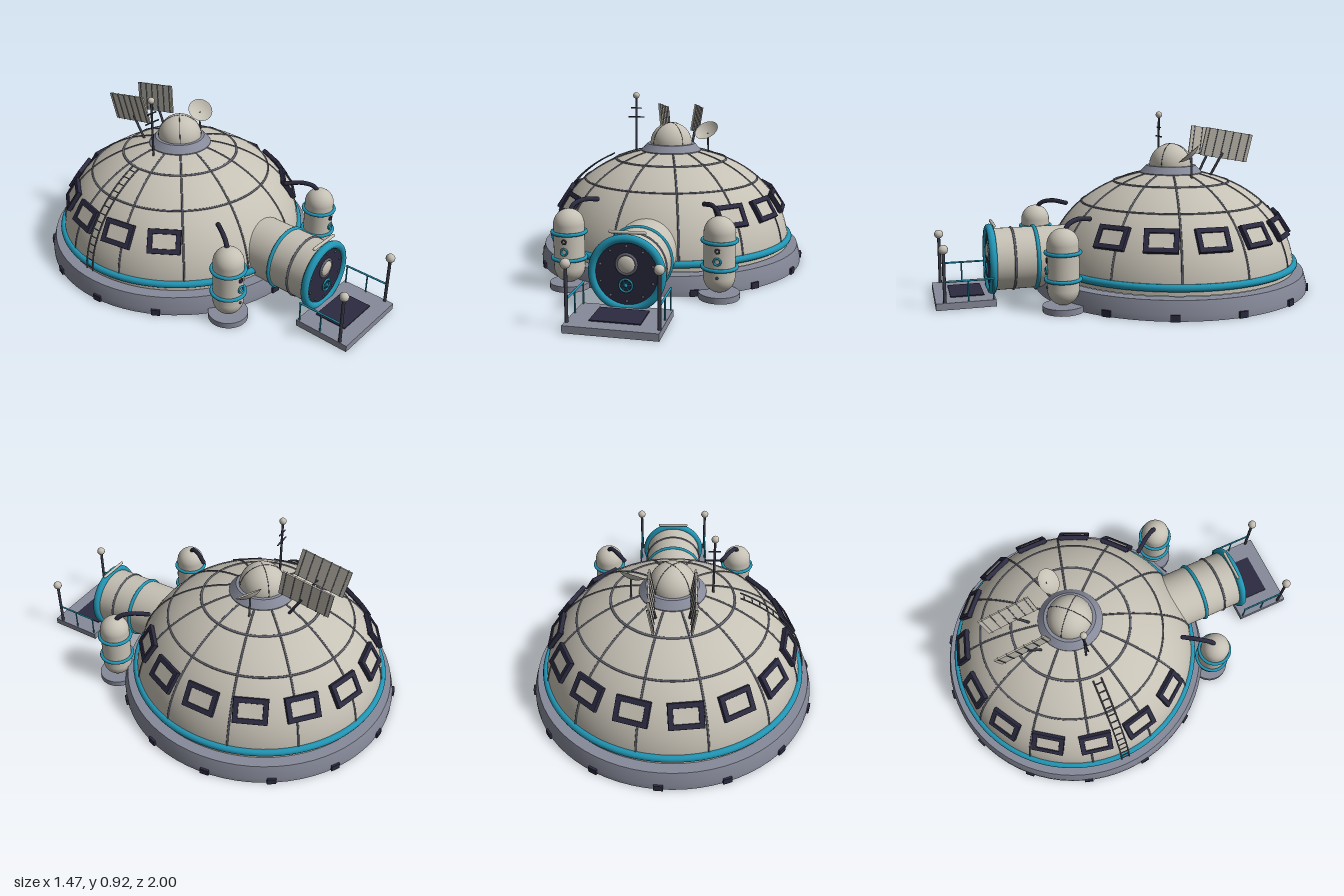
import * as THREE from 'three';
import { toCreasedNormals } from 'three/addons/utils/BufferGeometryUtils.js';

const material = (name, color, side = THREE.FrontSide) => {
  const m = new THREE.MeshStandardMaterial({ color, side });
  m.name = name;
  return m;
};
const V = (x, y, z) => new THREE.Vector3(x, y, z);
const RAD = Math.PI / 180;

// Dome is an ellipsoid: radius R, rise H, springing from y = Y0
const R = 0.66, H = 0.52, Y0 = 0.1, DOME_Z = -0.26;
const latitude = (y) => Math.asin((y - Y0) / H);
const domePoint = (lat, off = 0) => {
  const n = new THREE.Vector2(Math.cos(lat) / R, Math.sin(lat) / H).normalize();
  return new THREE.Vector2(R * Math.cos(lat) + n.x * off, Y0 + H * Math.sin(lat) + n.y * off);
};

export function createModel() {
  const hull = material('hull', 0xc6c1b5, THREE.DoubleSide);
  const grey = material('base grey', 0x878a9a);
  const teal = material('teal trim', 0x2196b5);
  const navy = material('dark navy', 0x2b2a40);
  const seam = material('seam grey', 0x5f616d);
  const dark = material('charcoal', 0x3b3d49);

  const model = new THREE.Group();
  model.name = 'domeHabitat';
  const group = (name, parent, x = 0, y = 0, z = 0) => {
    const g = new THREE.Group();
    g.name = name;
    g.position.set(x, y, z);
    parent.add(g);
    return g;
  };
  const add = (parent, name, geo, mat, x = 0, y = 0, z = 0) => {
    const m = new THREE.Mesh(geo, mat);
    m.name = name;
    m.position.set(x, y, z);
    parent.add(m);
    return m;
  };
  const box = (w, h, d) => new THREE.BoxGeometry(w, h, d);
  const ball = (r) => new THREE.SphereGeometry(r, 20, 14);
  const ring = (r, t, seg = 64) => new THREE.TorusGeometry(r, t, 10, seg);
  const flatRing = (r, t, seg) => ring(r, t, seg).rotateX(Math.PI / 2);
  const lathe = (pts, seg = 64) => toCreasedNormals(
    new THREE.LatheGeometry(pts.map(([x, y]) => new THREE.Vector2(x, y)), seg), 0.6);
  const tube = (pts, r, seg = 24) =>
    new THREE.TubeGeometry(new THREE.CatmullRomCurve3(pts), seg, r, 8);
  const rod = (parent, name, a, b, r, mat) => {
    const m = add(parent, name, new THREE.CylinderGeometry(r, r, a.distanceTo(b), 10), mat);
    m.position.copy(a).lerp(b, 0.5);
    m.quaternion.setFromUnitVectors(V(0, 1, 0), b.clone().sub(a).normalize());
    return m;
  };
  const arc = (from, to, off, n, x = 0) => Array.from({ length: n + 1 }, (_, i) => {
    const p = domePoint(from + (to - from) * i / n, off);
    return V(x, p.y, p.x);
  });

  // Main dome and its foundation
  const dome = group('dome', model, 0, 0, DOME_Z);
  const profile = Array.from({ length: 25 }, (_, i) => domePoint(i / 24 * Math.PI / 2));
  add(dome, 'domeShell', new THREE.LatheGeometry(profile, 72), hull);
  add(dome, 'foundationRing', lathe(
    [[0.65, 0], [0.73, 0], [0.73, 0.03], [0.712, 0.095], [0.65, 0.095], [0.65, 0]], 72), grey);
  add(dome, 'tealBand', flatRing(0.662, 0.018, 96), teal, 0, 0.138, 0);
  for (const [y, t] of [[0.455, 0.005], [0.56, 0.006]])
    add(dome, 'hoopSeam', flatRing(domePoint(latitude(y)).x, t, 80), seam, 0, y, 0);
  const ribGeo = tube(arc(latitude(0.14), latitude(0.607), 0, 12), 0.005);
  for (let i = 0; i < 12; i++)
    add(dome, 'ribSeam', ribGeo, seam).rotation.y = (15 + 30 * i) * RAD;
  for (let i = 0; i < 14; i++) {
    const g = group('anchor', dome);
    g.rotation.y = (20.6 + 360 / 14 * i) * RAD;
    add(g, 'anchorBlock', box(0.045, 0.032, 0.035), navy, 0, 0.016, 0.722);
  }

  // Windows run round the dome, leaving the entrance clear
  const frameShape = new THREE.Shape([[-1, -1], [1, -1], [1, 1], [-1, 1]].map(([x, y]) =>
    new THREE.Vector2(x * 0.08, y * 0.058)));
  frameShape.holes.push(new THREE.Path([[-1, -1], [-1, 1], [1, 1], [1, -1]].map(([x, y]) =>
    new THREE.Vector2(x * 0.062, y * 0.04))));
  const frameGeo = new THREE.ExtrudeGeometry(frameShape, {
    depth: 0.016, bevelThickness: 0.004, bevelSize: 0.004, bevelSegments: 2 });
  const wLat = latitude(0.34), wp = domePoint(wLat);
  const tilt = Math.atan2(Math.sin(wLat) / H, Math.cos(wLat) / R);
  for (let i = 0; i < 12; i++) {
    const turn = group('windowMount', dome);
    turn.rotation.y = (42 + 24 * i) * RAD;
    const w = group('window', turn, 0, wp.y, wp.x);
    w.rotation.x = -tilt;
    add(w, 'windowFrame', frameGeo, navy, 0, 0, 0.002);
    add(w, 'windowCasing', box(0.15, 0.108, 0.03), navy, 0, 0, -0.008);
    add(w, 'windowPane', box(0.126, 0.082, 0.008), hull, 0, 0, 0.011);
  }

  // Ladder up the right side
  const ladder = group('ladder', dome);
  ladder.rotation.y = -Math.PI / 2;
  const la = latitude(0.12), lb = latitude(0.553);
  for (const x of [-0.022, 0.022])
    add(ladder, 'ladderRail', tube(arc(la, lb, 0.022, 10, x), 0.004), seam);
  for (let i = 0; i < 14; i++) {
    const p = domePoint(la + (lb - la) * (i + 0.5) / 14, 0.022);
    rod(ladder, 'ladderRung', V(-0.022, p.y, p.x), V(0.022, p.y, p.x), 0.003, seam);
  }

  // Cupola on top
  add(dome, 'cupolaCollar', lathe([[0, 0.59], [0.166, 0.59], [0.166, 0.608], [0.132, 0.644], [0, 0.644]]), grey);
  add(dome, 'cupola', new THREE.SphereGeometry(0.116, 40, 16, 0, Math.PI * 2, 0, Math.PI / 2), hull, 0, 0.643, 0);
  for (const a of [45, 135])
    add(dome, 'cupolaSeam', new THREE.TorusGeometry(0.1155, 0.0018, 6, 40, Math.PI), dark, 0, 0.643, 0).rotation.y = a * RAD;

  // Antenna mast
  rod(dome, 'mast', V(-0.2, 0.57, 0), V(-0.2, 0.9, 0), 0.006, dark);
  add(dome, 'mastBall', ball(0.018), hull, -0.2, 0.905, 0);
  for (const [y, w] of [[0.785, 0.046], [0.835, 0.03]])
    rod(dome, 'mastCrossbar', V(-0.2 - w, y, 0), V(-0.2 + w, y, 0), 0.004, dark);

  // Dish
  rod(dome, 'dishStand', V(0.205, 0.57, -0.04), V(0.2, 0.7, -0.04), 0.005, seam);
  const dish = add(dome, 'dish', new THREE.LatheGeometry(
    [0, 0.02, 0.04, 0.055, 0.068].map((r) => new THREE.Vector2(r, r * r * 5)), 32), hull, 0.2, 0.7, -0.04);
  dish.quaternion.setFromUnitVectors(V(0, 1, 0), V(-0.28, 0.76, 0.59).normalize());

  // Pair of slatted panels leaning outward
  for (const s of [-1, 1]) {
    rod(dome, 'panelStrut', V(s * 0.08, 0.58, -0.19), V(s * 0.092, 0.71, -0.26), 0.007, dark);
    const p = group('solarPanel', dome, s * 0.097, 0.752, -0.28);
    p.rotation.set(-0.17, 0, -s * 0.13);
    add(p, 'panelSheet', box(0.008, 0.15, 0.27), hull);
    for (let i = 0; i < 6; i++)
      add(p, 'panelSlat', box(0.014, 0.152, 0.005), seam, 0, 0, -0.115 + i * 0.046);
  }

  // Entrance tunnel with door
  const lock = group('airlock', model, 0, 0.188, 0);
  add(lock, 'tunnel', new THREE.CylinderGeometry(0.158, 0.158, 0.52, 48).rotateX(Math.PI / 2), hull, 0, 0, 0.45);
  add(lock, 'tunnelBand', ring(0.158, 0.01), teal, 0, 0, 0.49);
  add(lock, 'tunnelSeam', ring(0.158, 0.006), seam, 0, 0, 0.605);
  add(lock, 'doorRing', ring(0.162, 0.02), teal, 0, 0, 0.716);
  add(lock, 'door', new THREE.CylinderGeometry(0.155, 0.155, 0.02, 48).rotateX(Math.PI / 2), navy, 0, 0, 0.712);
  for (let i = 0; i < 10; i++) {
    const a = (18 + i * 36) * RAD;
    add(lock, 'doorBolt', ball(0.006), seam, Math.cos(a) * 0.128, Math.sin(a) * 0.128, 0.722);
  }
  add(lock, 'portholeRim', ring(0.046, 0.007, 32), seam, 0, 0.045, 0.724);
  add(lock, 'porthole', ball(0.043), hull, 0, 0.045, 0.722).scale.z = 0.4;
  const wheel = group('doorWheel', lock, 0, -0.05, 0.735);
  add(wheel, 'wheelRim', ring(0.03, 0.005, 24), teal);
  for (let i = 0; i < 3; i++)
    add(wheel, 'wheelSpoke', box(0.058, 0.005, 0.005), teal).rotation.z = i * Math.PI / 3;
  add(wheel, 'wheelHub', ball(0.009), teal);
  add(lock, 'doorLamp', new THREE.CapsuleGeometry(0.008, 0.16, 6, 12).rotateZ(Math.PI / 2), hull, 0, 0.186, 0.7);

  // Entrance platform with rails
  const deck = group('platform', model);
  add(deck, 'deckSlab', box(0.424, 0.034, 0.288), grey, 0, 0.017, 0.856);
  add(deck, 'doorMat', box(0.23, 0.006, 0.165), navy, 0, 0.036, 0.843);
  for (const s of [-1, 1]) {
    const x = s * 0.203;
    rod(deck, 'lampPost', V(x, 0.03, 0.957), V(x, 0.28, 0.957), 0.008, dark);
    add(deck, 'lampBall', ball(0.023), hull, x, 0.294, 0.957);
    rod(deck, 'handRail', V(x, 0.137, 0.957), V(x, 0.137, 0.72), 0.005, teal);
    for (const z of [0.845, 0.725])
      rod(deck, 'railUpright', V(x, 0.03, z), V(x, 0.137, z), 0.004, teal);
  }

  // Storage tanks either side of the entrance
  for (const s of [-1, 1]) {
    const tank = group('tank', model, s * 0.375, 0, 0.415);
    add(tank, 'tankFoot', new THREE.CylinderGeometry(0.1, 0.1, 0.03, 36), grey, 0, 0.015, 0);
    add(tank, 'tankBody', new THREE.CapsuleGeometry(0.077, 0.217, 12, 36), hull, 0, 0.215, 0);
    for (const y of [0.155, 0.285]) add(tank, 'tankBand', flatRing(0.083, 0.009, 40), teal, 0, y, 0);
    add(tank, 'tankGauge', ring(0.01, 0.004, 20), dark, 0, 0.25, 0.079);
    add(tank, 'tankValve', ring(0.016, 0.005, 20), teal, 0, 0.2, 0.081);
    add(tank, 'tankPlug', ball(0.007), dark, 0, 0.12, 0.077);
    add(model, 'tankPipe', tube([V(s * 0.375, 0.375, 0.41), V(s * 0.36, 0.413, 0.385),
      V(s * 0.325, 0.43, 0.33), V(s * 0.275, 0.42, 0.26)], 0.012), navy);
    add(model, 'pipeEnd', ball(0.0125), navy, s * 0.275, 0.42, 0.26);
  }
  return model;
}
